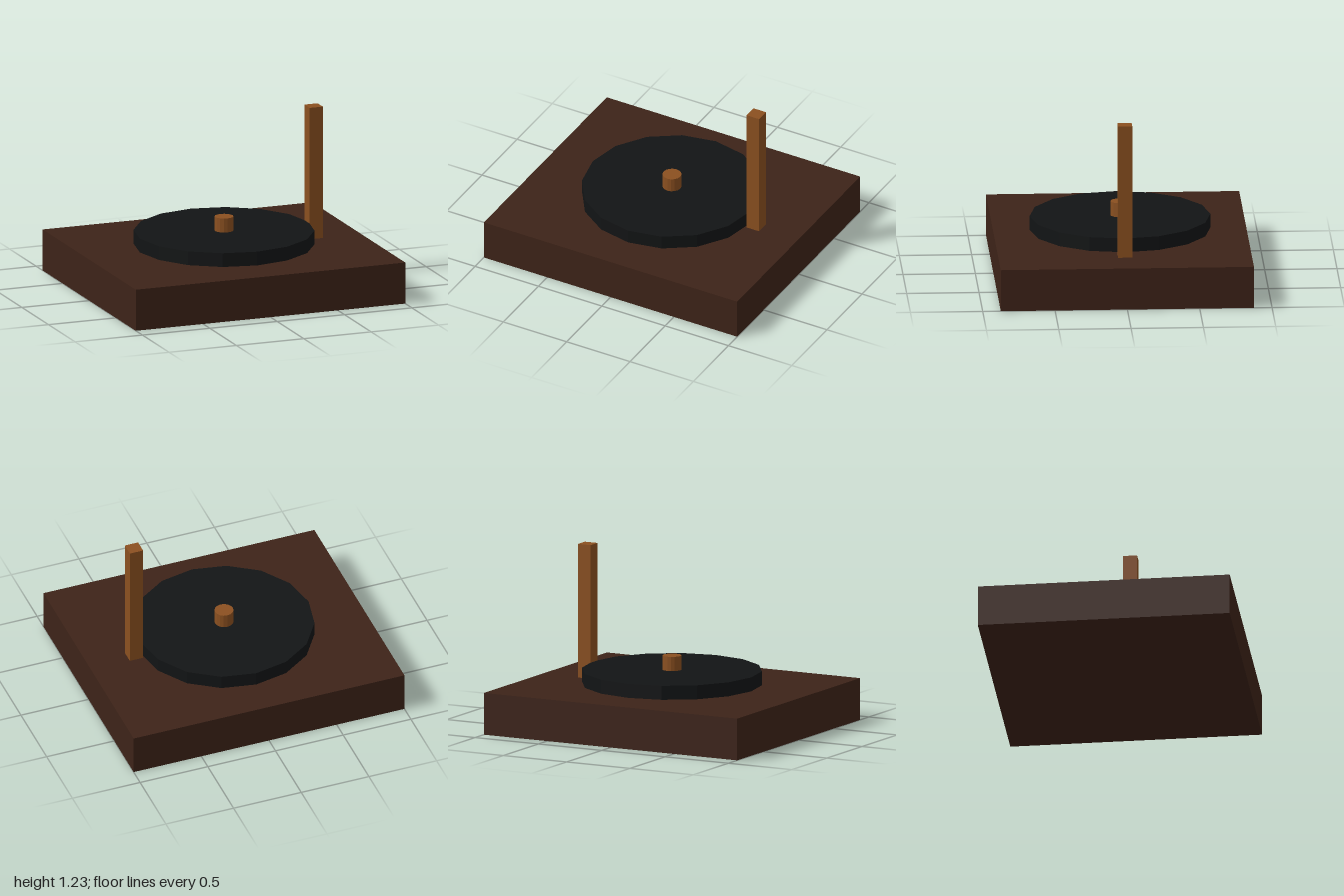
import * as THREE from 'three';

const material = (color) => new THREE.MeshStandardMaterial({ color, flatShading: true });

export function createModel() {
  const model = new THREE.Group();
  const darkWood = material(0x3d2318);
  const lightWood = material(0x8b5020);
  const black = material(0x121415);

  // Adds a named part whose underside rests at the given height
  const add = (name, geometry, mat, x, bottom) => {
    const mesh = new THREE.Mesh(geometry, mat);
    mesh.name = name;
    mesh.position.set(x, bottom + geometry.parameters.height / 2, 0);
    model.add(mesh);
  };

  // Plinth
  add('base', new THREE.BoxGeometry(2, 0.293, 1.75), darkWood, 0, 0);

  // Faceted platter floating just above the plinth
  add('disc', new THREE.CylinderGeometry(0.625, 0.625, 0.098, 16), black, 0, 0.308);

  // Centre knob
  add('knob', new THREE.CylinderGeometry(0.066, 0.066, 0.1, 16), lightWood, 0, 0.406);

  // Upright post beside the platter
  add('post', new THREE.BoxGeometry(0.098, 0.938, 0.098), lightWood, 0.665, 0.293);

  return model;
}
